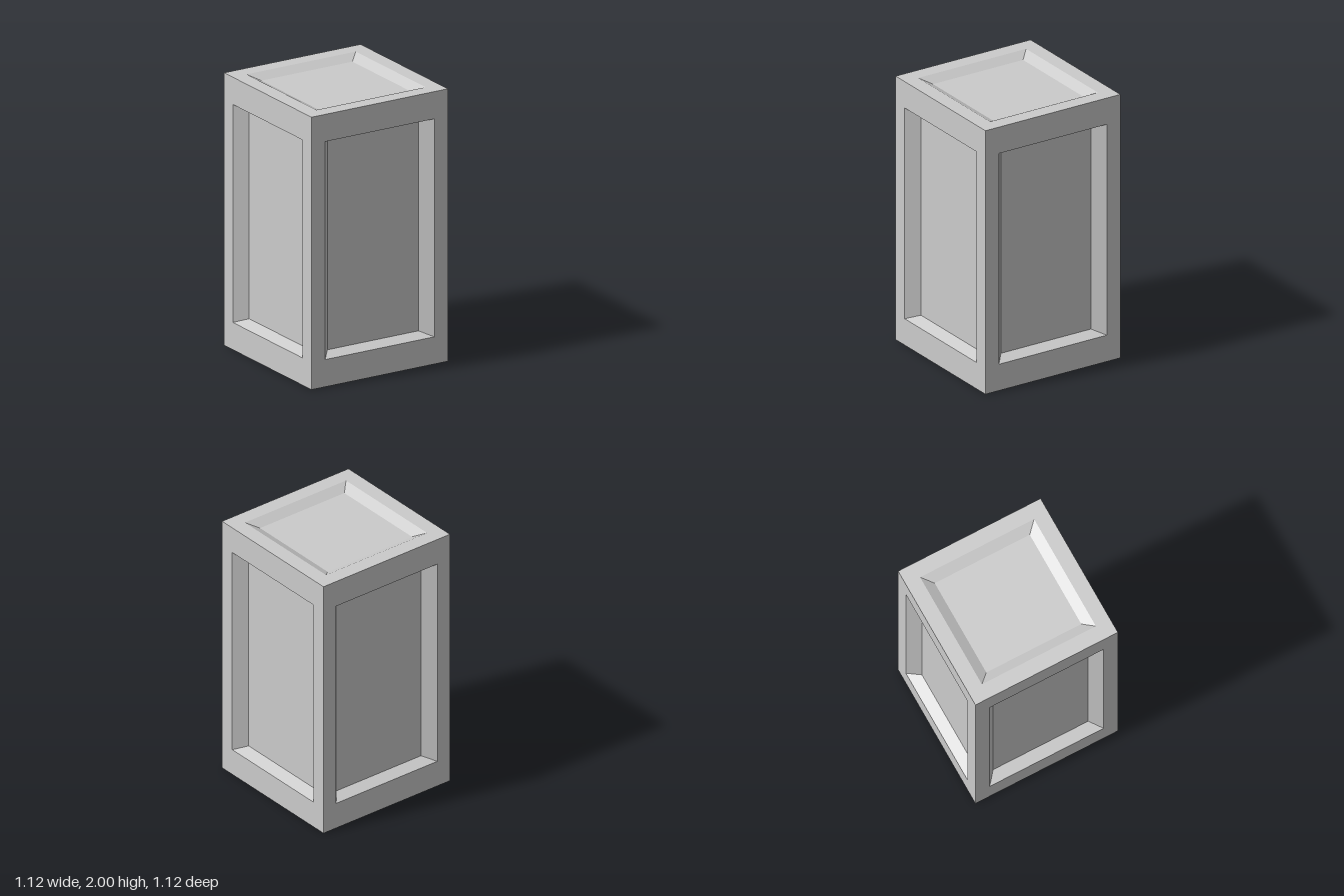
import * as THREE from 'three';

const HALF = 0.5625, HEIGHT = 2;

const material = new THREE.MeshStandardMaterial({ color: 0xcccccc, flatShading: true });

// Rectangle loop, counter-clockwise seen from +z
const loop = (w, h, z) => [[-w, -h, z], [w, -h, z], [w, h, z], [-w, h, z]];

function mesh(name, quads) {
  const points = quads.flatMap(([a, b, c, d]) => [a, b, c, a, c, d]).flat();
  const geometry = new THREE.BufferGeometry();
  geometry.setAttribute('position', new THREE.Float32BufferAttribute(points, 3));
  geometry.computeVertexNormals();
  const m = new THREE.Mesh(geometry, material);
  m.name = name;
  return m;
}

// Four quads joining an outer loop to an inner one
const strip = (outer, inner) => outer.map((p, i) => {
  const j = (i + 1) % 4;
  return [p, outer[j], inner[j], inner[i]];
});

// One face of the block: flat border, sloped recess walls, sunken panel
function recessedFace(name, edge, rim, floor) {
  const face = new THREE.Group();
  face.name = name;
  face.add(
    mesh('border', strip(edge, rim)),
    mesh('recessWalls', strip(rim, floor)),
    mesh('sunkenPanel', [floor]),
  );
  return face;
}

export function createModel() {
  const model = new THREE.Group();
  model.name = 'panelledBlock';

  // Four upright faces
  ['frontFace', 'leftFace', 'backFace', 'rightFace'].forEach((name, i) => {
    const face = recessedFace(name,
      loop(HALF, HEIGHT / 2, HALF), loop(0.45, 0.8, HALF), loop(0.375, 0.767, HALF - 0.087));
    face.rotation.y = i * Math.PI / 2;
    face.position.y = HEIGHT / 2;
    model.add(face);
  });

  // Top and bottom faces, with a shallower recess
  for (const [name, side] of [['topFace', -1], ['bottomFace', 1]]) {
    const face = recessedFace(name,
      loop(HALF, HALF, HEIGHT / 2), loop(0.45, 0.45, HEIGHT / 2), loop(0.375, 0.375, HEIGHT / 2 - 0.038));
    face.rotation.x = side * Math.PI / 2;
    face.position.y = HEIGHT / 2;
    model.add(face);
  }
  return model;
}
